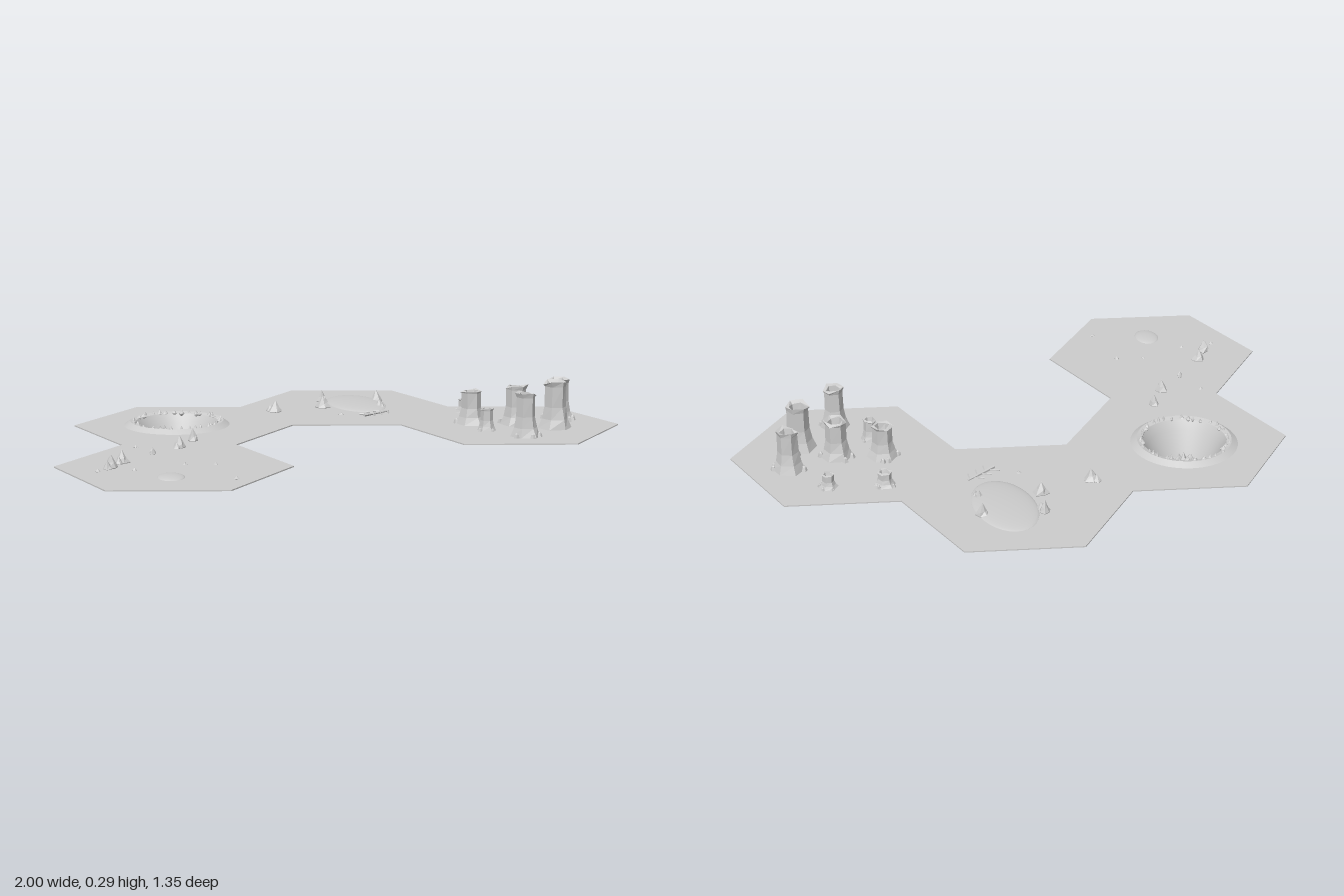
import * as THREE from 'three';
import { toCreasedNormals } from 'three/addons/utils/BufferGeometryUtils.js';

const GROUND = 0.122;
const stone = new THREE.MeshStandardMaterial({ color: 0xcccccc });
stone.name = 'pale grey stone';

let seed = 11;
const rnd = () => (seed = (seed * 16807) % 2147483647) / 2147483647;
const vary = (a) => 1 + (rnd() * 2 - 1) * a;

// Faceted skin through rings of [radius, height, radius jitter, height jitter]
function loft(sides, rings) {
  const pts = rings.map(([r, y, jr = 0, jy = 0]) =>
    Array.from({ length: sides }, (_, i) => {
      const a = (i / sides) * Math.PI * 2, q = r * vary(jr);
      return [q * Math.cos(a), y + (rnd() - 0.5) * 2 * jy, q * Math.sin(a)];
    }));
  const pos = [];
  for (let k = 0; k < rings.length - 1; k++) {
    for (let i = 0; i < sides; i++) {
      const j = (i + 1) % sides;
      const [a, b, c, d] = [pts[k][i], pts[k + 1][i], pts[k + 1][j], pts[k][j]];
      if (rings[k][0] > 0) pos.push(...a, ...b, ...d);
      if (rings[k + 1][0] > 0) pos.push(...b, ...c, ...d);
    }
  }
  const g = new THREE.BufferGeometry();
  g.setAttribute('position', new THREE.Float32BufferAttribute(pos, 3));
  g.computeVertexNormals();
  return g;
}

function add(parent, name, geometry, x, y, z, ry = 0) {
  const m = new THREE.Mesh(geometry, stone);
  m.name = name;
  m.position.set(x, y, z);
  m.rotation.y = ry;
  parent.add(m);
  return m;
}

// Pointed rock, half sunk into the ground
function rock(parent, name, x, y, z, r, h) {
  const g = loft(6, [[0, -h * 0.75], [r * 0.7, -h * 0.3, 0.15], [r, 0.05 * h, 0.2],
    [r * 0.6, h * 0.4, 0.25, h * 0.08], [0, h]]);
  return add(parent, name, g, x, y, z, rnd() * 6);
}

// Hollow broken trunk with a flared foot and a jagged rim
function trunk(parent, x, z, r, h) {
  const g = loft(6, [[r, 0, 0.08], [r * 0.78, h * 0.2, 0.04], [r * 0.64, h * 0.45, 0.04],
    [r * 0.62, h * 0.88, 0.04], [r * 0.7, h * 0.94, 0.08, h * 0.06],
    [r * 0.48, h * 0.93, 0.06, h * 0.04], [r * 0.36, h * 0.7], [0, h * 0.68]]);
  add(parent, 'brokenTrunk', g, x, GROUND, z, Math.PI / 6 + (rnd() - 0.5) * 0.3);
  // Root knuckles around the foot
  for (let i = 0; i < 4; i++) {
    const a = rnd() * 6.28;
    add(parent, 'root', loft(5, [[r * 0.2, 0], [r * 0.12, r * 0.25, 0.2], [0, r * 0.35]]),
      x + Math.cos(a) * r * 0.95, GROUND, z + Math.sin(a) * r * 0.95, a);
  }
}

// Low oval swelling in the ground
function mound(parent, name, x, z, rx, rz, h, ry) {
  const g = new THREE.SphereGeometry(1, 32, 16);
  g.scale(rx, h, rz);
  add(parent, name, g, x, GROUND - 0.002, z, ry);
}

export function createModel() {
  const model = new THREE.Group();
  model.name = 'hexTerrain';
  const PX = -0.347, PZ = -0.315;

  // Ground plate: four joined hexagons with a hole for the pit
  const half = [[0, -0.097], [0.333, 0.095], [0.333, 0.48], [0.667, 0.673], [1, 0.48],
    [1, 0.095], [0.667, -0.097], [0.667, -0.482], [0.333, -0.675], [0, -0.482]];
  const outline = [...half, ...half.slice(1, -1).reverse().map(([x, z]) => [-x, z])];
  const shape = new THREE.Shape(outline.map(([x, z]) => new THREE.Vector2(x, -z)));
  shape.holes.push(new THREE.Path().absarc(PX, -PZ, 0.145, 0, Math.PI * 2, true));
  const plate = new THREE.ExtrudeGeometry(shape, { depth: 0.004, bevelEnabled: false, curveSegments: 24 });
  plate.rotateX(-Math.PI / 2);
  add(model, 'groundPlate', plate, 0, GROUND - 0.004, 0);

  // Sunken pit with a raised lip
  const pit = new THREE.Group();
  pit.name = 'pit';
  pit.position.set(PX, 0, PZ);
  model.add(pit);
  const profile = [[0, 0], [0.085, 0], [0.135, 0.112], [0.187, 0.112], [0.187, 0.122], [0.165, 0.137],
    [0.147, 0.132], [0.128, 0.1], [0.09, 0.012], [0, 0.012]].map(([r, y]) => new THREE.Vector2(r, y));
  add(pit, 'pitBowl', toCreasedNormals(new THREE.LatheGeometry(profile, 40), 0.5), 0, 0, 0);

  // Small stones around the lip
  for (let i = 0; i < 36; i++) {
    const a = ((i + rnd() * 0.6) / 36) * Math.PI * 2, r = 0.152 * vary(0.05);
    rock(pit, 'lipStone', Math.cos(a) * r, 0.132, Math.sin(a) * r, 0.008 * vary(0.35), 0.014 * vary(0.3));
  }

  // Heap of rocks on the pit floor
  add(pit, 'heapBase', loft(14, [[0.066, 0.01, 0.05], [0.05, 0.026, 0.08], [0.03, 0.034, 0.1], [0, 0.036]]), 0, 0, 0);
  for (let i = 0; i < 16; i++) {
    const a = (i / 16) * Math.PI * 2, r = i % 2 ? 0.052 : 0.034;
    rock(pit, 'heapRock', Math.cos(a) * r, 0.028, Math.sin(a) * r, 0.012 * vary(0.3), 0.022 * vary(0.3));
  }
  rock(pit, 'heapPeak', 0, 0.035, 0, 0.022, 0.045);

  // Mounds
  mound(model, 'largeMound', 0.405, -0.32, 0.105, 0.172, 0.014, -0.25);
  mound(model, 'smallMound', -0.745, 0.422, 0.045, 0.06, 0.01, -0.4);

  // Scattered rocks: x, z, radius, height
  [[0.07, -0.34, 0.028, 0.044], [0.06, -0.36, 0.016, 0.025], [0.26, -0.32, 0.026, 0.045],
    [0.318, -0.425, 0.018, 0.045], [0.315, -0.4, 0.014, 0.025], [0.495, -0.325, 0.024, 0.045],
    [0.445, -0.225, 0.016, 0.03], [0.45, -0.21, 0.011, 0.025], [-0.43, -0.035, 0.02, 0.044],
    [-0.52, 0.04, 0.025, 0.044], [-0.535, 0.05, 0.014, 0.02], [-0.642, 0.085, 0.013, 0.022],
    [-0.787, 0.155, 0.024, 0.044], [-0.805, 0.17, 0.014, 0.025], [-0.85, 0.205, 0.023, 0.044],
    [-0.87, 0.22, 0.016, 0.03],
  ].forEach(([x, z, r, h]) => rock(model, 'rock', x, GROUND, z, r, h));

  // Pebbles
  [[0.245, -0.165], [-0.645, -0.035], [-0.91, 0.235], [-0.8, 0.275], [-0.625, 0.285],
    [-0.54, 0.337], [-0.58, 0.548],
  ].forEach(([x, z]) => rock(model, 'pebble', x, GROUND, z, 0.009, 0.009));

  // Broken trunks: x, z, foot radius, height
  [[0.56, 0.2, 0.054, 0.125], [0.69, 0.29, 0.058, 0.142], [0.868, 0.302, 0.056, 0.152],
    [0.767, 0.415, 0.06, 0.168], [0.59, 0.48, 0.052, 0.155], [0.655, 0.027, 0.037, 0.052],
    [0.818, 0.122, 0.032, 0.052], [0.535, 0.33, 0.034, 0.08],
  ].forEach(([x, z, r, h]) => trunk(model, x, z, r, h));

  // Fallen branch with twigs
  const branch = new THREE.Group();
  branch.name = 'fallenBranch';
  branch.position.set(0.357, GROUND + 0.006, -0.105);
  branch.rotation.y = 0.22;
  model.add(branch);
  const stick = (name, r, len, x, z, ry) => {
    const g = toCreasedNormals(new THREE.CylinderGeometry(r, r * 0.5, len, 5), 0.1);
    g.rotateZ(Math.PI / 2);
    add(branch, name, g, x, 0, z, ry);
  };
  stick('branchStem', 0.006, 0.125, 0, 0, 0);
  for (let i = 0; i < 6; i++) {
    const s = i % 2 ? 1 : -1;
    stick('twig', 0.003, 0.04, -0.045 + i * 0.018, s * 0.014, s * 0.95);
  }
  return model;
}
